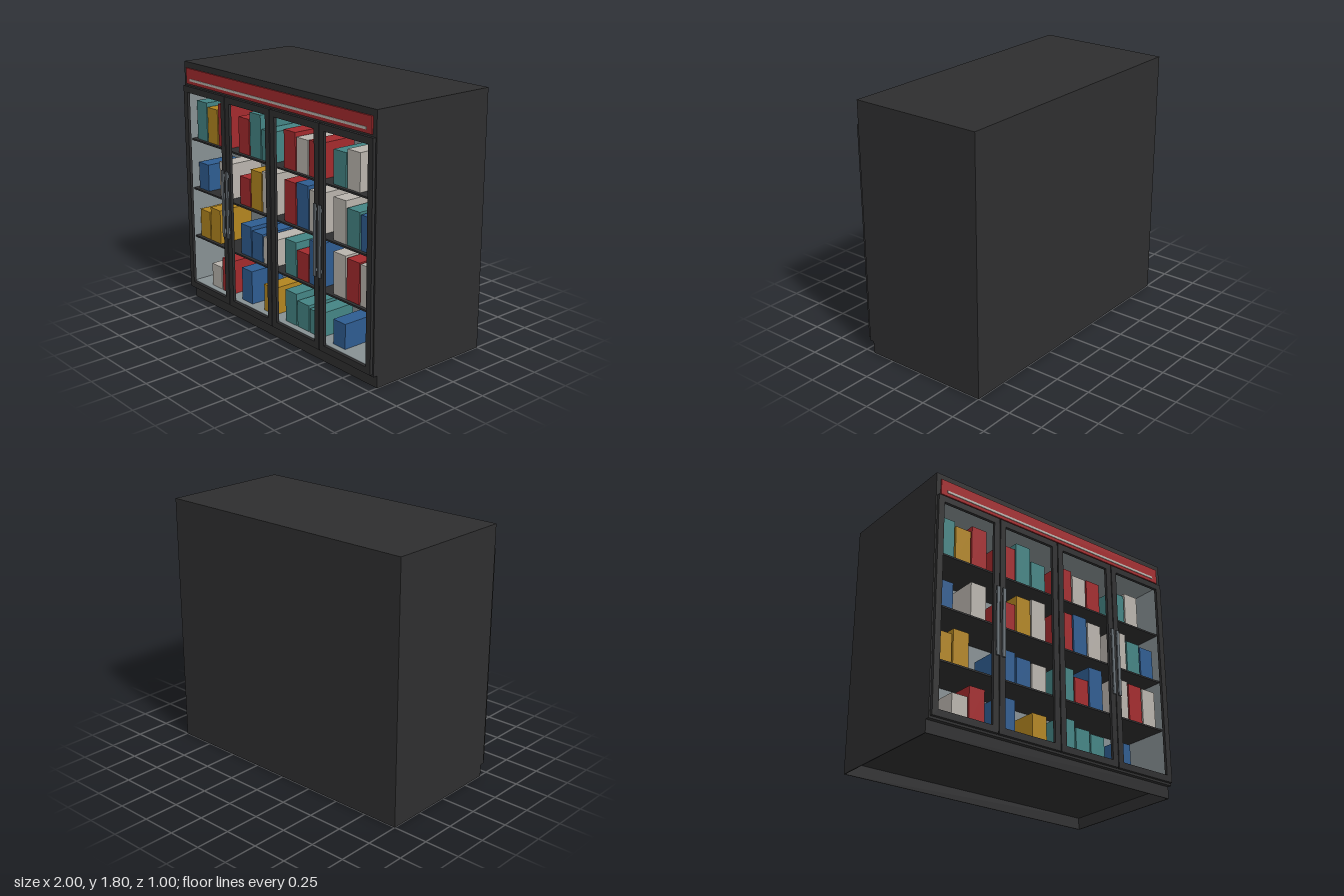
import * as THREE from 'three';

const mat = (name, color, side = THREE.FrontSide) => {
  const m = new THREE.MeshStandardMaterial({ color, side });
  m.name = name;
  return m;
};

export function createModel() {
  const charcoal = mat('charcoal', 0x2e2e2f);
  const liner = mat('liner grey', 0x879093);
  const steel = mat('handle steel', 0x687076);
  const red = mat('red', 0xa32a2d);
  const white = mat('warm white', 0xb9b4ad);
  const teal = mat('teal', 0x448484);
  const yellow = mat('yellow', 0xb28520);
  const blue = mat('blue', 0x2e5c90);

  const root = new THREE.Group();
  root.name = 'displayFridge';

  // Box given by its minimum and maximum on each axis
  const box = (parent, name, material, x0, x1, y0, y1, z0, z1) => {
    const mesh = new THREE.Mesh(new THREE.BoxGeometry(x1 - x0, y1 - y0, z1 - z0), material);
    mesh.position.set((x0 + x1) / 2, (y0 + y1) / 2, (z0 + z1) / 2);
    mesh.name = name;
    parent.add(mesh);
    return mesh;
  };
  const group = (name) => {
    const g = new THREE.Group();
    g.name = name;
    root.add(g);
    return g;
  };

  // Cabinet shell
  const BACK = -0.5, FRONT = 0.46, INNER = 0.09, SIDE = 0.97, FLOOR = 0.14, CEIL = 1.62;
  const cabinet = group('cabinet');
  box(cabinet, 'backBody', charcoal, -1, 1, 0.085, 1.8, BACK, INNER - 0.005);
  box(cabinet, 'roof', charcoal, -1, 1, CEIL, 1.8, INNER - 0.005, FRONT);
  box(cabinet, 'floor', charcoal, -1, 1, 0.085, FLOOR, INNER - 0.005, FRONT);
  for (const s of [-1, 1]) {
    const [a, b] = s < 0 ? [-1, -SIDE - 0.005] : [SIDE + 0.005, 1];
    box(cabinet, 'sideWall', charcoal, a, b, FLOOR, CEIL, INNER - 0.005, FRONT);
  }

  // Open plinth made of thin walls
  const plinth = group('plinth');
  box(plinth, 'plinthFront', charcoal, -1, 1, 0, 0.085, 0.424, 0.43);
  box(plinth, 'plinthBack', charcoal, -1, 1, 0, 0.085, BACK, BACK + 0.006);
  box(plinth, 'plinthLeft', charcoal, 0.994, 1, 0, 0.085, BACK + 0.006, 0.424);
  box(plinth, 'plinthRight', charcoal, -1, -0.994, 0, 0.085, BACK + 0.006, 0.424);

  // Pale interior lining
  const lining = group('lining');
  box(lining, 'liningBack', liner, -SIDE, SIDE, FLOOR, CEIL, INNER - 0.005, INNER);
  box(lining, 'liningFloor', liner, -SIDE, SIDE, FLOOR, FLOOR + 0.005, INNER, FRONT - 0.005);
  box(lining, 'liningCeiling', liner, -SIDE, SIDE, CEIL - 0.005, CEIL, INNER, FRONT - 0.005);
  for (const s of [-1, 1]) {
    const x = s * (SIDE + 0.0025);
    box(lining, 'liningSide', liner, x - 0.0025, x + 0.0025, FLOOR, CEIL, INNER, FRONT - 0.005);
  }

  // Shelves
  const shelfTops = [1.238, 0.867, 0.498];
  const shelves = group('shelves');
  for (const y of shelfTops)
    box(shelves, 'shelf', charcoal, -SIDE, SIDE, y - 0.012, y, INNER, 0.435);

  // Header sign panel with a pale stripe
  const header = group('header');
  box(header, 'headerPanel', red, -0.967, 0.967, 1.645, 1.757, FRONT, 0.47);
  box(header, 'headerStripe', white, -0.92, 0.92, 1.668, 1.685, 0.47, 0.474);

  // Framed doors, handles meeting in pairs
  const doorX = [-0.745, -0.2485, 0.2485, 0.745];
  const frameShape = new THREE.Shape();
  frameShape.moveTo(-0.245, 0.1).lineTo(0.245, 0.1).lineTo(0.245, 1.63).lineTo(-0.245, 1.63).closePath();
  const opening = new THREE.Path();
  opening.moveTo(-0.201, 0.146).lineTo(-0.201, 1.585).lineTo(0.201, 1.585).lineTo(0.201, 0.146).closePath();
  frameShape.holes.push(opening);
  const frameGeo = new THREE.ExtrudeGeometry(frameShape, { depth: 0.021, bevelEnabled: false });
  doorX.forEach((x, i) => {
    const door = group('door');
    const frame = new THREE.Mesh(frameGeo, charcoal);
    frame.name = 'doorFrame';
    frame.position.set(x, 0, FRONT);
    door.add(frame);
    const hx = x + (i % 2 ? -0.224 : 0.224);
    box(door, 'handleBar', steel, hx - 0.012, hx + 0.012, 0.617, 1.107, 0.49, 0.5);
    for (const y of [0.66, 1.07])
      box(door, 'handleMount', steel, hx - 0.008, hx + 0.008, y - 0.01, y + 0.01, 0.48, 0.491);
  });

  // Stock: colour letter and top height for three slots per door, '-' is empty
  const colours = { T: teal, Y: yellow, R: red, W: white, B: blue };
  const stock = [
    'T1.52 Y1.492 R1.54 R1.492 T1.545 T1.45 R1.497 W1.47 R1.476 T1.465 W1.492 -',
    'B1.064 - W1.123 R1.07 Y1.145 W1.16 R1.156 B1.166 W1.145 W1.156 T1.112 B1.1',
    'Y0.706 Y0.749 - B0.722 B0.7 W0.69 T0.743 R0.695 B0.803 W0.79 R0.78 W0.776',
    '- W0.316 R0.396 B0.39 - Y0.342 T0.375 T0.332 T0.316 B0.321 - -',
  ];
  const products = group('products');
  [...shelfTops, FLOOR + 0.005].forEach((base, row) => {
    stock[row].split(' ').forEach((code, i) => {
      if (code === '-') return;
      const x = doorX[Math.floor(i / 3)] + ((i % 3) - 1) * 0.129;
      box(products, 'productBox', colours[code[0]], x - 0.059, x + 0.059, base, Number(code.slice(1)), 0.13, 0.41);
    });
  });

  return root;
}
